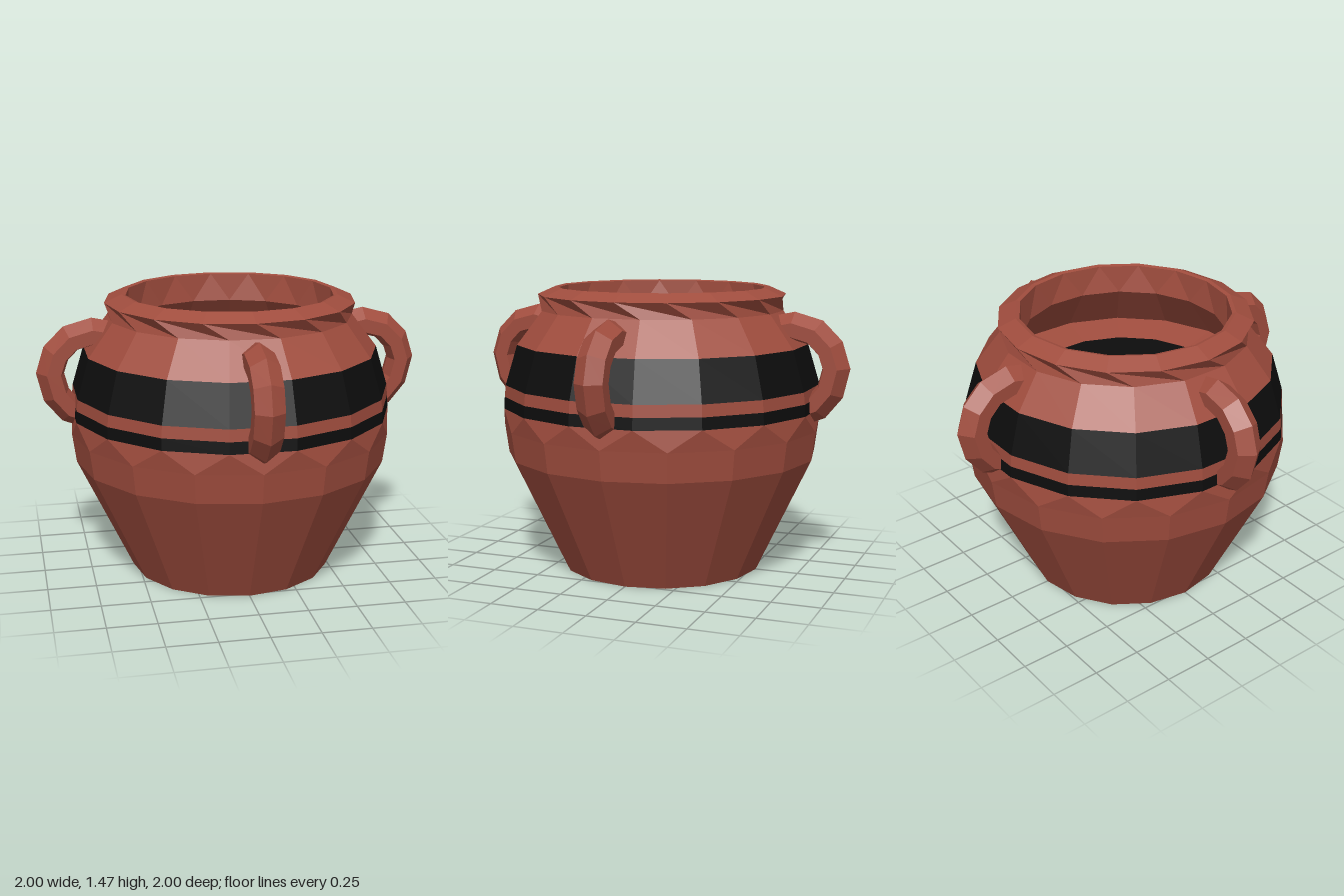
import * as THREE from 'three';

const SIDES = 16;

const clay = new THREE.MeshStandardMaterial({ color: 0xa04d3e });
clay.name = 'terracotta';
const black = new THREE.MeshStandardMaterial({ color: 0x0d0d0d });
black.name = 'black glaze';

// Joins rings of points into a surface; rings run counter-clockwise seen along the path reversed.
function loft(rings, closed = true) {
  const pos = [];
  const tri = (a, b, c) => [a, b, c].forEach(p => pos.push(p.x, p.y, p.z));
  for (let i = 0; i < rings.length - 1; i++) {
    const a = rings[i], b = rings[i + 1], n = a.length;
    for (let j = 0; j < (closed ? n : n - 1); j++) {
      const k = (j + 1) % n;
      tri(a[j], a[k], b[j]);
      tri(a[k], b[k], b[j]);
    }
  }
  const g = new THREE.BufferGeometry();
  g.setAttribute('position', new THREE.Float32BufferAttribute(pos, 3));
  g.computeVertexNormals();
  return g;
}

// Horizontal ring of the pot: radius, height, twist in steps
function ring([r, y, twist = 0]) {
  return Array.from({ length: SIDES }, (_, j) => {
    const t = (j + twist) / SIDES * Math.PI * 2;
    return new THREE.Vector3(r * Math.sin(t), y, r * Math.cos(t));
  });
}

function add(parent, name, geometry, material) {
  const mesh = new THREE.Mesh(geometry, material);
  mesh.name = name;
  parent.add(mesh);
  return mesh;
}

// Handle: hexagonal section swept along an arc in the x-y plane
function handleGeometry() {
  const path = [[0.6, 1.26], [0.71, 1.285], [0.82, 1.255], [0.895, 1.18],
    [0.928, 1.08], [0.9, 0.965], [0.835, 0.885], [0.74, 0.85]]
    .map(([x, y]) => new THREE.Vector3(x, y, 0));
  const section = [[0.072, 0], [0.02, 0.072], [-0.05, 0.072],
    [-0.07, 0], [-0.05, -0.072], [0.02, -0.072]];
  const rings = path.map((p, i) => {
    const t = path[Math.min(i + 1, path.length - 1)].clone()
      .sub(path[Math.max(i - 1, 0)]).normalize();
    const out = new THREE.Vector3(-t.y, t.x, 0);
    return section.map(([n, z]) => p.clone().addScaledVector(out, n).setZ(z));
  });
  const end = r => r.map(() => r.reduce((s, v) => s.add(v), new THREE.Vector3()).divideScalar(r.length));
  return loft([end(rings[0]), ...rings, end(rings[rings.length - 1])]);
}

export function createModel() {
  const model = new THREE.Group();
  model.name = 'pot';

  // Each band is a run of rings, from the base up, over the rim and inside
  const bands = [
    ['lowerBody', clay, [[0, 0], [0.525, 0], [0.81, 0.6], [0.83, 0.75], [0.832, 0.855, 0.5]]],
    ['narrowStripe', black, [[0.832, 0.855, 0.5], [0.828, 0.915, 0.5]]],
    ['middleBody', clay, [[0.828, 0.915, 0.5], [0.822, 0.975, 0.5]]],
    ['wideStripe', black, [[0.822, 0.975, 0.5], [0.76, 1.18, 0.5]]],
    ['shoulder', clay, [[0.76, 1.18, 0.5], [0.63, 1.35, 0.5]]],
    ['rim', clay, [[0.63, 1.35, 0.5], [0.645, 1.43, 0], [0.555, 1.47, 0], [0.535, 1.465, 0], [0.52, 1.32, 0.5]]],
    ['innerWall', clay, [[0.52, 1.32, 0.5], [0.7, 1.08, 0.5], [0.51, 1.05, 0.5]]],
    ['darkInside', black, [[0.51, 1.05, 0.5], [0, 1.05, 0.5]]],
  ];
  for (const [name, material, rows] of bands) add(model, name, loft(rows.map(ring)), material);

  // Four handles around the shoulder
  const geometry = handleGeometry();
  ['left', 'back', 'right', 'front'].forEach((side, i) => {
    add(model, side + 'Handle', geometry, clay).rotation.y = i * Math.PI / 2;
  });
  return model;
}
